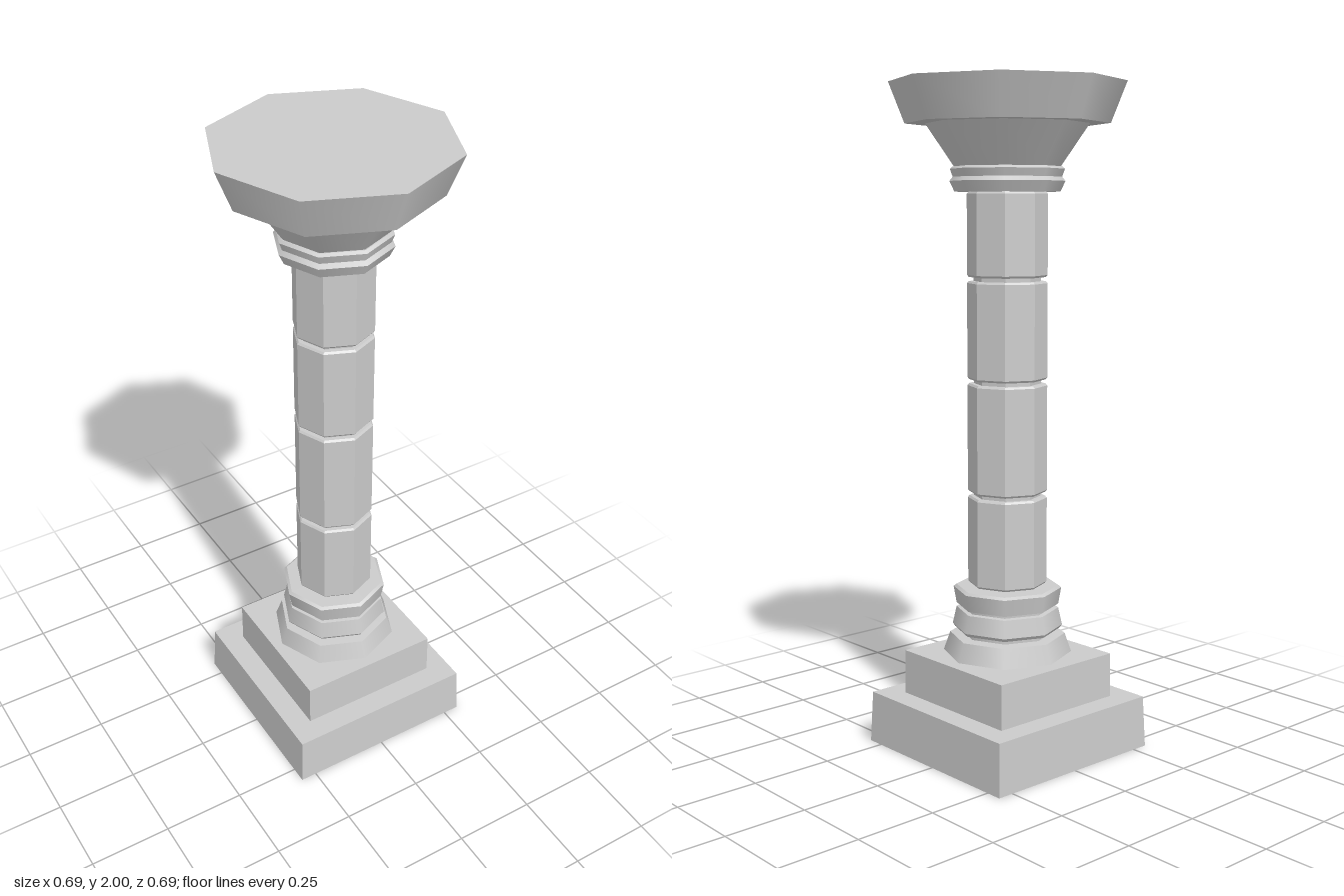
import * as THREE from 'three';
import { mergeGeometries } from 'three/addons/utils/BufferGeometryUtils.js';

const SIDES = 8;
const smooth = new THREE.MeshStandardMaterial({ color: 0xcccccc });
const faceted = new THREE.MeshStandardMaterial({ color: 0xcccccc, flatShading: true });

// Octagonal turned part with a hard edge at every profile point; points are [radius, y], bottom to top
function octagonal(name, profile, material) {
  const bands = [];
  for (let i = 0; i + 1 < profile.length; i++) {
    const pair = [profile[i], profile[i + 1]].map(([r, y]) => new THREE.Vector2(r, y));
    bands.push(new THREE.LatheGeometry(pair, SIDES));
  }
  const mesh = new THREE.Mesh(mergeGeometries(bands), material);
  mesh.name = name;
  return mesh;
}

// Square block whose top is slightly smaller than its foot
function block(name, bottomHalf, topHalf, y0, y1) {
  const geo = new THREE.BoxGeometry(2, y1 - y0, 2);
  const pos = geo.attributes.position;
  for (let i = 0; i < pos.count; i++) {
    const half = pos.getY(i) > 0 ? topHalf : bottomHalf;
    pos.setX(i, pos.getX(i) * half);
    pos.setZ(i, pos.getZ(i) * half);
  }
  geo.translate(0, (y0 + y1) / 2, 0);
  const mesh = new THREE.Mesh(geo, faceted);
  mesh.name = name;
  return mesh;
}

export function createModel() {
  const column = new THREE.Group();
  column.name = 'column';

  // Stepped square plinth
  column.add(block('lowerPlinth', 0.3, 0.294, 0, 0.157));
  column.add(block('upperPlinth', 0.223, 0.222, 0.157, 0.292));

  // Base mouldings with narrow grooves between them
  column.add(octagonal('baseMouldings', [
    [0, 0.292], [0.195, 0.298], [0.175, 0.355],
    [0.14, 0.358], [0.14, 0.37],
    [0.16, 0.372], [0.167, 0.382], [0.155, 0.435],
    [0.14, 0.437], [0.14, 0.445],
    [0.155, 0.447], [0.164, 0.498], [0.155, 0.505], [0, 0.51],
  ], smooth));

  // Shaft drums, separated by recessed joints
  const joints = [0.787, 1.127, 1.43];
  const levels = [0.505, ...joints, 1.69];
  const gap = 0.006, bevel = 0.006;
  const shaft = new THREE.Group();
  shaft.name = 'shaft';
  for (let i = 0; i + 1 < levels.length; i++) {
    const y0 = levels[i] + gap, y1 = levels[i + 1] - gap;
    shaft.add(octagonal('drum', [
      [0.1, y0], [0.114, y0], [0.119, y0 + bevel],
      [0.119, y1 - bevel], [0.114, y1], [0.1, y1],
    ], faceted));
  }
  for (const y of joints) {
    shaft.add(octagonal('joint', [[0.1, y - gap], [0.1, y + gap]], faceted));
  }
  column.add(shaft);

  // Necking ring below the capital
  column.add(octagonal('neckRing', [
    [0, 1.684], [0.155, 1.684], [0.17, 1.715], [0.16, 1.727],
    [0.168, 1.75], [0.16, 1.757], [0, 1.757],
  ], smooth));

  // Flared bell and broad top slab
  column.add(octagonal('capitalBell', [[0.155, 1.755], [0.24, 1.88]], smooth));
  column.add(octagonal('capitalSlab', [
    [0, 1.88], [0.3, 1.88], [0.347, 2], [0, 2],
  ], smooth));

  return column;
}
